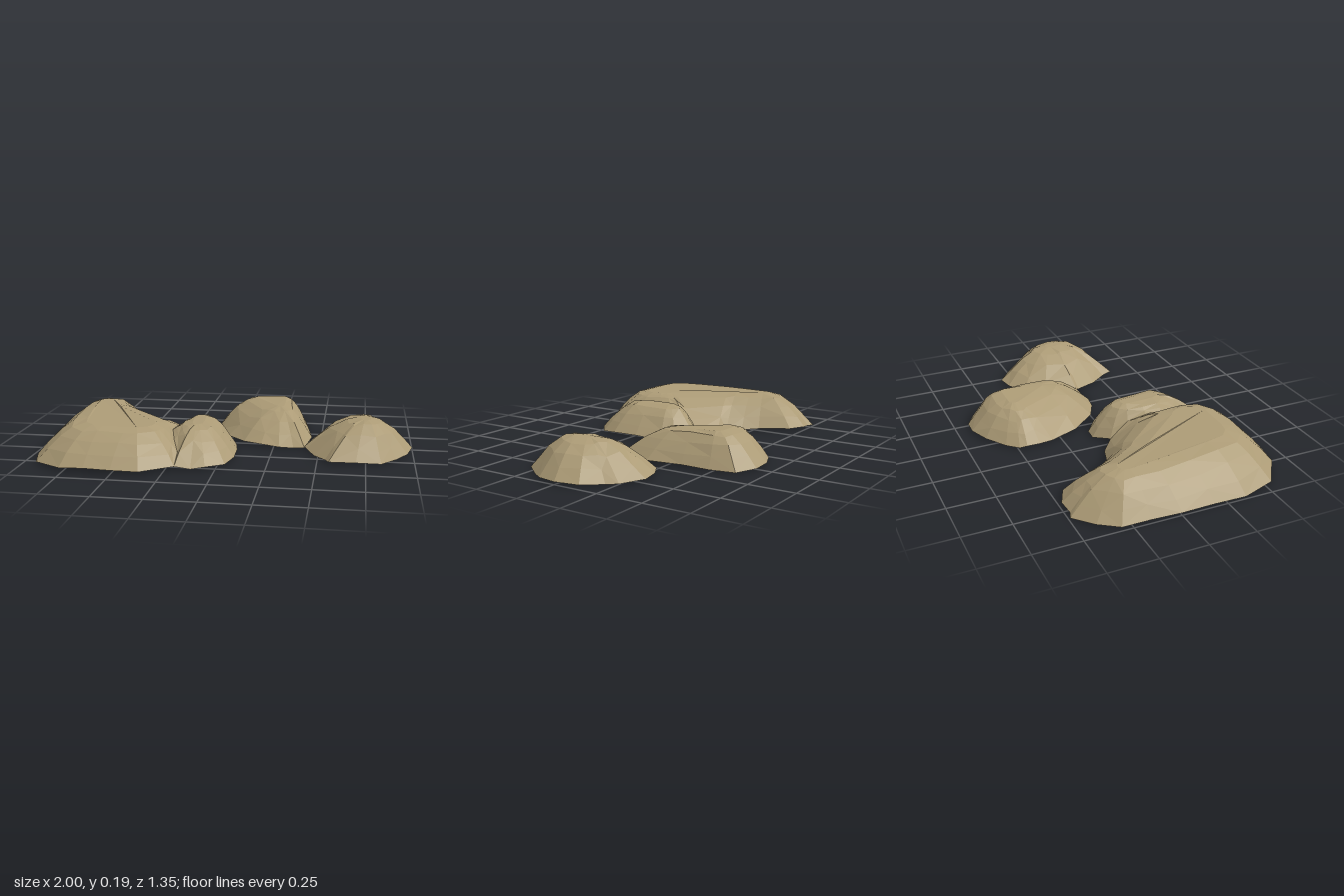
import * as THREE from 'three';

const stone = new THREE.MeshStandardMaterial({ color: 0xac9b76, flatShading: true, side: THREE.DoubleSide });
stone.name = 'sandstone';

// small seeded generator for the chipped irregularity
function seeded(seed) {
  let s = seed;
  return () => {
    s = (s * 16807) % 2147483647;
    return s / 2147483647 - 0.5;
  };
}

// nearest place on the crest line, whose points are [x, z, height, crown radius]
function nearestOnCrest(crest, x, z) {
  let best = null, bestD = Infinity;
  for (let i = 0; i < crest.length - 1; i++) {
    const a = crest[i], b = crest[i + 1];
    const dx = b[0] - a[0], dz = b[1] - a[1];
    const u = THREE.MathUtils.clamp(((x - a[0]) * dx + (z - a[1]) * dz) / (dx * dx + dz * dz), 0, 1);
    const p = a.map((v, k) => v + (b[k] - v) * u);
    const d = Math.hypot(x - p[0], z - p[1]);
    if (d < bestD) { bestD = d; best = p; }
  }
  return { cx: best[0], cz: best[1], h: best[2], reach: 1 - best[3] / bestD };
}

// hollow rock shell: rings climb from the ground outline to a nearly flat crown
function rock(name, outline, crest, seed) {
  const rand = seeded(seed);
  const steps = [0, 0.22, 0.46, 0.72, 1];
  const last = steps.length - 1, n = outline.length;
  const pos = [], index = [];
  steps.forEach((t, k) => {
    outline.forEach(([x, z, y], i) => {
      const { cx, cz, h, reach } = nearestOnCrest(crest, x, z);
      const inner = k > 0 && k < last;
      const j = inner ? t + rand() * 0.06 : t;
      const rim = y ?? 0.01 + 0.007 * Math.sin(i * 1.3 + seed);
      const rough = inner ? rand() * 0.009 : 0;
      const rise = Math.sin(j * Math.PI / 2);
      pos.push(x + (cx - x) * j * reach, rim + (h - rim) * rise + rough, z + (cz - z) * j * reach);
    });
  });
  for (let k = 0; k < last; k++) {
    for (let i = 0; i < n; i++) {
      const a = k * n + i, b = k * n + (i + 1) % n, c = a + n, d = b + n;
      if ((i + k) % 2) index.push(b, a, c, b, c, d);
      else index.push(b, a, d, a, c, d);
    }
  }
  // close the crown
  const ids = outline.map((_, i) => last * n + i).reverse();
  const ring = ids.map((v) => new THREE.Vector2(pos[v * 3], -pos[v * 3 + 2]));
  THREE.ShapeUtils.triangulateShape(ring, []).forEach((f) => index.push(...f.map((v) => ids[v])));

  const geo = new THREE.BufferGeometry();
  geo.setAttribute('position', new THREE.Float32BufferAttribute(pos, 3));
  geo.setIndex(index);
  geo.computeVertexNormals();
  const mesh = new THREE.Mesh(geo, stone);
  mesh.name = name;
  return mesh;
}

export function createModel() {
  const group = new THREE.Group();
  group.name = 'rocks';

  // outlines are [x, z, optional rim height], running from the back round by the +x side
  // raised crease where the large rock and the side rock grow together
  const seam = [
    [-0.23, -0.02, 0.02], [-0.235, 0.08, 0.11], [-0.255, 0.18, 0.14], [-0.265, 0.27, 0.14],
    [-0.235, 0.38, 0.115], [-0.2, 0.47, 0.075], [-0.2, 0.56, 0.025],
  ];

  group.add(rock('largeRock', [
    [-0.81, -0.49], [-0.77, -0.475], [-0.69, -0.485], [-0.59, -0.44], [-0.52, -0.27], [-0.46, -0.19],
    [-0.4, -0.12], [-0.33, -0.1], ...seam,
    [-0.36, 0.66, 0.02], [-0.5, 0.67, 0.025], [-0.64, 0.665, 0.028], [-0.77, 0.65, 0.02], [-0.93, 0.54, 0.012],
    [-0.985, 0.36], [-0.99, 0.18], [-1, 0], [-0.985, -0.15], [-0.975, -0.3], [-0.91, -0.4],
  ], [[-0.75, -0.18, 0.183, 0.04], [-0.7, 0, 0.19, 0.07], [-0.6, 0.32, 0.193, 0.12], [-0.44, 0.35, 0.19, 0.1]], 17));

  group.add(rock('sideRock', [
    [-0.15, -0.09], [-0.09, -0.09], [0, -0.02], [0.045, 0.05], [0.07, 0.2, 0.025],
    [0.075, 0.35, 0.025], [0.04, 0.45], [-0.05, 0.52], [-0.12, 0.545], ...[...seam].reverse(),
  ], [[-0.14, 0.11, 0.18, 0.03], [-0.13, 0.27, 0.182, 0.03]], 43));

  group.add(rock('backRock', [
    [-0.11, -0.45], [-0.1, -0.49], [-0.05, -0.55], [0.05, -0.63], [0.16, -0.675], [0.26, -0.67],
    [0.365, -0.61], [0.4, -0.48], [0.42, -0.33], [0.45, -0.14], [0.42, 0.06], [0.36, 0.06],
    [0.28, 0.07], [0.18, 0.05], [0.08, 0], [-0.03, -0.14], [-0.09, -0.3], [-0.11, -0.38],
  ], [[0.13, -0.44, 0.172, 0.03], [0.25, -0.44, 0.176, 0.03], [0.26, -0.25, 0.17, 0.025]], 91));

  group.add(rock('endRock', [
    [0.45, -0.14], [0.52, -0.25], [0.62, -0.31], [0.72, -0.325], [0.83, -0.25], [0.87, -0.2],
    [0.965, -0.12], [1, 0], [0.97, 0.12], [0.91, 0.2], [0.83, 0.3], [0.7, 0.325],
    [0.56, 0.34], [0.54, 0.28], [0.48, 0.19], [0.43, 0.07], [0.42, 0.05],
  ], [[0.74, 0, 0.182, 0.025], [0.75, 0.06, 0.184, 0.025]], 137));

  return group;
}
